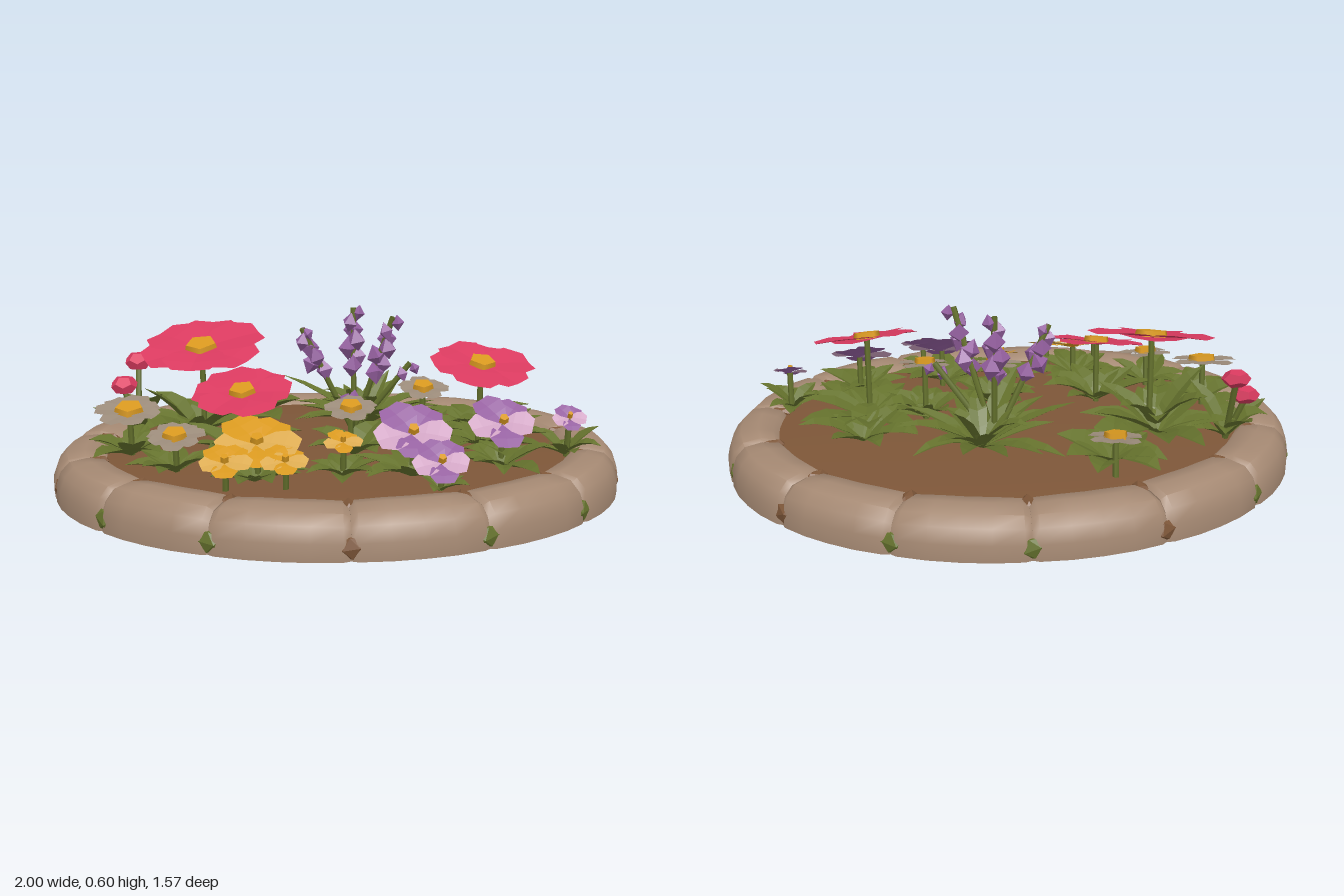
import * as THREE from 'three';
import { mergeGeometries, toCreasedNormals } from 'three/addons/utils/BufferGeometryUtils.js';

const mat = (name, color, side = THREE.FrontSide) => {
  const m = new THREE.MeshStandardMaterial({ color, side });
  m.name = name;
  return m;
};

export function createModel() {
  const root = new THREE.Group();
  root.name = 'flowerBed';
  const D = THREE.DoubleSide;
  const M = {
    stone: mat('stone', 0xa48872), soil: mat('soil', 0x7d5638),
    leaf: mat('leaf', 0x65722d, D), pink: mat('pink', 0xd93a5f, D),
    gold: mat('gold', 0xd8981f, D), paleGold: mat('paleGold', 0xdcab52, D),
    purple: mat('purple', 0x9560a0, D), lilac: mat('lilac', 0xcfa3c2, D),
    grey: mat('greyPetal', 0x9b8b7a, D),
  };
  let seed = 7;
  const rnd = (a = 0, b = 1) => {
    seed = (seed * 16807) % 2147483647;
    return a + (b - a) * (seed / 2147483647);
  };
  const add = (parent, name, geo, material) => {
    const mesh = new THREE.Mesh(geo, material);
    mesh.name = name;
    parent.add(mesh);
    return mesh;
  };
  const build = (pos, idx) => {
    const g = new THREE.BufferGeometry();
    g.setAttribute('position', new THREE.Float32BufferAttribute(pos, 3));
    g.setIndex(idx);
    return g;
  };

  // Folded blade along +z, used for leaves and petals
  const blade = (length, half, widths, lift, droop, fold) => {
    const pos = [], idx = [], n = widths.length - 1;
    widths.forEach((k, i) => {
      const t = i / n, w = half * k, y = lift * t - droop * t * t, z = length * t;
      pos.push(-w, y + fold * w, z, 0, y, z, w, y + fold * w, z);
      if (i < n) for (const a of [i * 3, i * 3 + 1])
        idx.push(a, a + 3, a + 1, a + 1, a + 3, a + 4);
    });
    const g = build(pos, idx).toNonIndexed();
    g.computeVertexNormals();
    return g;
  };
  const LEAF = [0.25, 0.85, 1, 0.65, 0.04];
  const PETAL = [0.25, 0.8, 1, 0.6];

  // Stone rim: fourteen curved stones lofted around an oval
  const RX = 1, RZ = 0.785, COUNT = 14;
  const section = [[0, 0], [0, 0.06], [0.018, 0.11], [0.05, 0.143], [0.11, 0.153], [0.165, 0.143], [0.195, 0.11], [0.17, 0]];
  const along = [[-1, 0.88], [-0.9, 0.97], [-0.45, 1], [0, 1], [0.45, 1], [0.9, 0.97], [1, 0.88]];
  const rim = new THREE.Group();
  rim.name = 'stoneRim';
  root.add(rim);
  for (let s = 0; s < COUNT; s++) {
    const pos = [], idx = [], n = section.length, mid = (s / COUNT) * Math.PI * 2;
    const inner = rnd(0.95, 1.15), tall = rnd(0.96, 1.02);
    along.forEach(([u, k], i) => {
      const a = mid + u * Math.PI / COUNT;
      section.forEach(([o, y]) => {
        const off = 0.1 + (o - 0.1) * k * (o > 0.1 ? inner : 1);
        pos.push(Math.cos(a) * (RX - off), y * k * tall, Math.sin(a) * (RZ - off));
      });
      if (i < along.length - 1) for (let j = 0; j < n; j++) {
        const A = i * n + j, B = i * n + (j + 1) % n;
        idx.push(A, B, A + n, B, B + n, A + n);
      }
    });
    const end = (along.length - 1) * n;
    for (let j = 1; j < n - 1; j++) idx.push(0, j + 1, j, end, end + j, end + j + 1);
    add(rim, 'rimStone', toCreasedNormals(build(pos, idx), 0.75), M.stone);

    // Moss and earth chips wedged into the joints
    const a = mid + Math.PI / COUNT;
    const chip = new THREE.IcosahedronGeometry(1, 0).scale(0.025, 0.04, 0.05).rotateX(rnd(-0.5, 0.5))
      .rotateY(-a).translate(Math.cos(a) * (RX - 0.022), 0.04, Math.sin(a) * (RZ - 0.022));
    add(rim, s % 3 ? 'jointMoss' : 'jointEarth', chip, s % 3 ? M.leaf : M.soil);
    const top = new THREE.IcosahedronGeometry(1, 0).scale(0.045, 0.02, 0.02)
      .rotateY(-a).translate(Math.cos(a) * (RX - 0.15), 0.127, Math.sin(a) * (RZ - 0.15));
    add(rim, 'jointEarth', top, M.soil);
  }

  // Soil mound with a flat underside
  const mound = [[0, 0.004], [1, 0.004], [1, 0.12], [0.9, 0.128], [0.5, 0.138], [0, 0.145]];
  const soil = new THREE.LatheGeometry(mound.map(p => new THREE.Vector2(...p)), 28).scale(0.86, 1, 0.645);
  add(root, 'soil', toCreasedNormals(soil, 0.6), M.soil);

  // Leaf clumps: x, z, count, length, half width, lift
  const clumps = [
    [0.12, -0.24, 17, 0.31, 0.035, 0.2], [0.12, -0.24, 8, 0.17, 0.03, 0.24],
    [-0.3, -0.38, 8, 0.2, 0.065, 0.1], [-0.5, -0.17, 11, 0.29, 0.055, 0.16],
    [-0.5, -0.12, 6, 0.18, 0.045, 0.22], [-0.73, -0.22, 7, 0.16, 0.045, 0.19],
    [-0.72, 0.1, 8, 0.17, 0.045, 0.1], [-0.55, 0.3, 8, 0.17, 0.04, 0.09],
    [-0.33, 0.14, 9, 0.2, 0.045, 0.16], [-0.29, 0.41, 9, 0.18, 0.045, 0.08],
    [0, 0.37, 7, 0.14, 0.035, 0.09], [0.05, 0.14, 8, 0.16, 0.045, 0.12],
    [0.3, 0.02, 9, 0.17, 0.045, 0.17], [0.51, 0.04, 12, 0.27, 0.05, 0.14],
    [0.52, -0.15, 7, 0.21, 0.045, 0.18], [0.22, 0.38, 10, 0.2, 0.045, 0.09],
    [0.54, 0.3, 9, 0.19, 0.045, 0.1], [0.3, 0.53, 4, 0.09, 0.03, 0.06],
    [0.78, 0.17, 8, 0.13, 0.035, 0.11],
  ];
  for (const [x, z, count, len, half, lift] of clumps) {
    const start = rnd(0, 6), leaves = [];
    for (let i = 0; i < count; i++) {
      const yaw = start + (i + rnd(-0.3, 0.3)) * Math.PI * 2 / count, h = lift * rnd(0.6, 1.3);
      leaves.push(blade(len * rnd(0.8, 1.08), half * rnd(0.85, 1.15), LEAF, h, h * rnd(0.25, 0.7), 0.4)
        .rotateY(yaw).translate(x, 0.133, z));
    }
    add(root, 'leafClump', mergeGeometries(leaves), M.leaf);
  }

  // Straight thin stem between two points
  const stem = (from, to) => add(root, 'stem',
    new THREE.TubeGeometry(new THREE.LineCurve3(from, to), 1, 0.011, 5), M.leaf);

  // Flower head on a stem; petal materials repeat around the ring
  const flower = (name, [x, y, z, r], { petals, mats, tilt = 0.3, lean = 0, wide = 0.5, eye = 0.24, cup = 0.1, eyeMat = M.gold }) => {
    const g = new THREE.Group();
    g.name = name;
    g.position.set(x, y, z);
    g.rotation.set(tilt, 0, lean);
    const spin = petals === 5 ? 0 : rnd(0, 1);
    for (let i = 0; i < petals; i++) {
      const p = blade(r * rnd(0.9, 1.08), r * wide, PETAL, r * cup * 2, r * cup * 1.4, 0.1);
      p.translate(0, (i % 2) * 0.006, 0).rotateY(spin + i * Math.PI * 2 / petals);
      add(g, 'petal', p, mats[i % mats.length]);
    }
    add(g, 'flowerCentre', new THREE.CylinderGeometry(r * eye, r * eye * 1.1, 0.02, 5)
      .translate(0, r * cup * 0.5 + 0.014, 0), eyeMat);
    root.add(g);
    stem(new THREE.Vector3(x, 0.12, z - 0.02), new THREE.Vector3(x, y, z));
  };

  // Large pink blooms
  for (const b of [[-0.48, 0.46, -0.11, 0.205], [-0.33, 0.355, 0.14, 0.165], [0.5, 0.425, 0.06, 0.17]])
    flower('pinkBloom', b, { petals: 6, mats: [M.pink], tilt: 0.26, lean: b[0] > 0 ? -0.1 : 0.08, wide: 0.56, eye: 0.27, cup: 0.06 });

  // Pink buds
  for (const [x, y, z] of [[-0.78, 0.3, -0.25], [-0.73, 0.38, -0.3]]) {
    add(root, 'pinkBud', new THREE.DodecahedronGeometry(0.05).scale(1, 0.65, 1).rotateX(0.3).translate(x, y, z), M.pink);
    stem(new THREE.Vector3(-0.73, 0.13, -0.22), new THREE.Vector3(x, y - 0.02, z));
  }

  // Small grey daisies
  for (const d of [[-0.72, 0.285, 0.1, 0.115], [-0.55, 0.25, 0.3, 0.095], [-0.3, 0.25, -0.47, 0.09],
    [0.04, 0.29, 0.12, 0.09], [0.3, 0.335, 0.03, 0.085]])
    flower('daisy', d, { petals: 7, mats: [M.grey], tilt: 0.2, wide: 0.42, eye: 0.42, cup: 0.08 });

  // Golden flowers
  for (const d of [[-0.28, 0.255, 0.39, 0.14], [-0.38, 0.225, 0.5, 0.085], [-0.19, 0.225, 0.5, 0.075], [0, 0.245, 0.36, 0.06]])
    flower('goldenFlower', d, { petals: 5, mats: [M.gold, M.paleGold, M.gold], tilt: 0.35, wide: 0.5, eye: 0.15 });

  // Two-tone violets, facing forward
  for (const d of [[0.23, 0.27, 0.35, 0.125], [0.54, 0.28, 0.28, 0.11], [0.3, 0.225, 0.53, 0.09], [0.79, 0.265, 0.18, 0.06]])
    flower('violet', d, { petals: 5, mats: [M.purple, M.lilac, M.purple, M.purple, M.lilac], tilt: 0.55, wide: 0.52, eye: 0.14, cup: 0.12 });

  // Purple flower spikes: top point, floret count and size
  const spikes = [[-0.12, 0.53, -0.13, 6, 0.038], [0.07, 0.59, -0.21, 7, 0.04],
    [0.2, 0.58, -0.06, 7, 0.038], [0.27, 0.4, -0.12, 2, 0.032], [0.04, 0.33, 0.01, 2, 0.034]];
  for (const [x, y, z, count, size] of spikes) {
    const base = new THREE.Vector3(0.07, 0.13, -0.18), tip = new THREE.Vector3(x, y, z);
    stem(base, tip);
    const florets = [];
    for (let i = 0; i < count; i++) {
      const p = tip.clone().lerp(base, i * 0.07), a = i * 2.4;
      const s = size * (0.7 + 0.35 * Math.min(1, i / 2));
      florets.push(new THREE.OctahedronGeometry(s).scale(0.9, 1.1, 0.9).rotateZ(rnd(-0.6, 0.6)).rotateY(a)
        .translate(p.x + Math.cos(a) * 0.018, p.y - 0.02, p.z + Math.sin(a) * 0.018));
    }
    add(root, 'flowerSpike', mergeGeometries(florets), M.purple);
  }
  return root;
}
